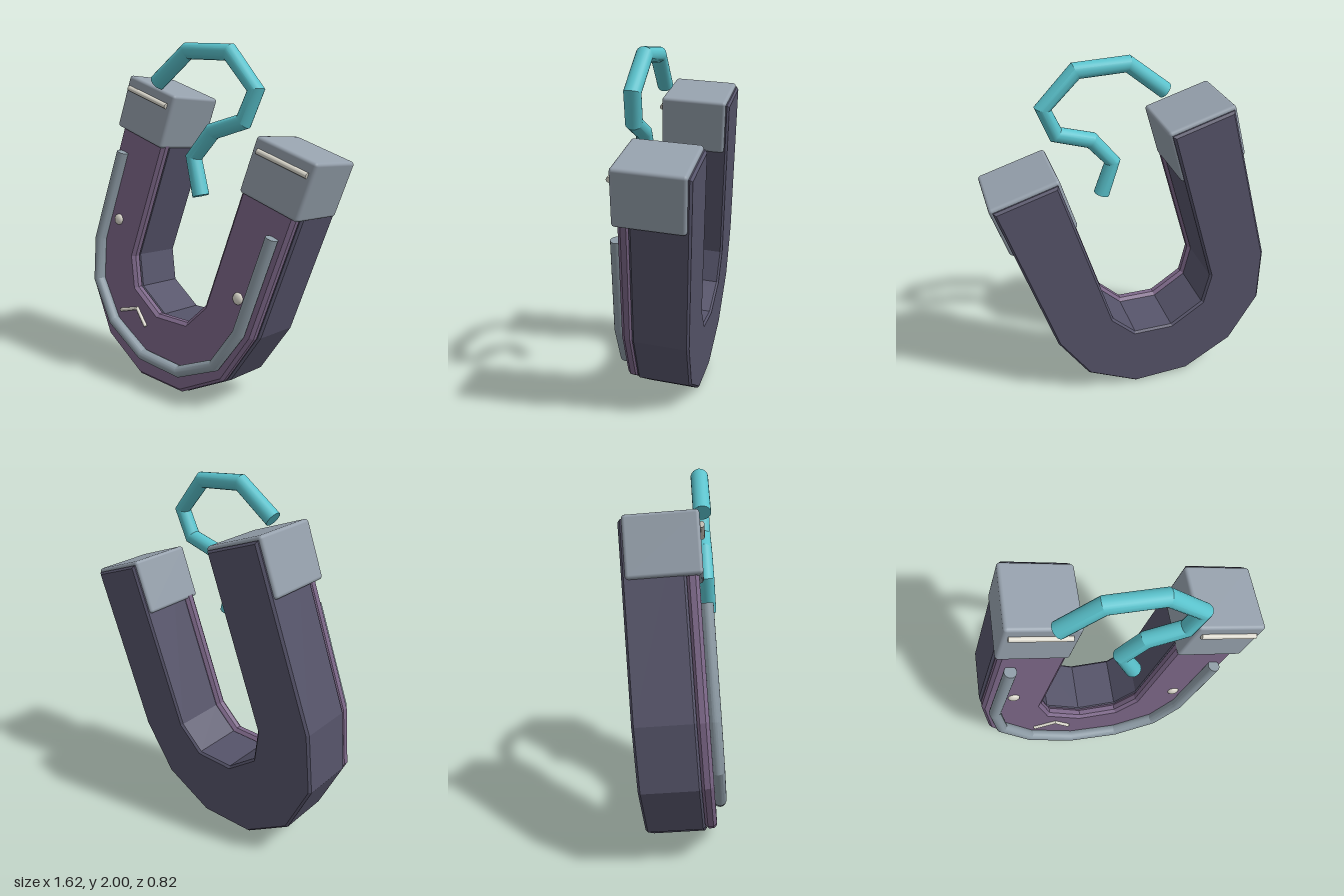
import * as THREE from 'three';
import { toCreasedNormals } from 'three/addons/utils/BufferGeometryUtils.js';
import { RoundedBoxGeometry } from 'three/addons/geometries/RoundedBoxGeometry.js';

const paint = (name, color) => {
  const m = new THREE.MeshStandardMaterial({ color });
  m.name = name;
  return m;
};

// Straight-sided path whose joints are mitred
class Polyline extends THREE.Curve {
  constructor(points) { super(); this.points = points; }
  getPoint(t, target = new THREE.Vector3()) {
    const n = this.points.length - 1;
    const s = Math.min(Math.max(t, 0), 1) * n;
    const i = Math.min(Math.floor(s), n - 1);
    return target.lerpVectors(this.points[i], this.points[i + 1], s - i);
  }
  getPointAt(t, target) { return this.getPoint(t, target); }
  getTangentAt(t, target = new THREE.Vector3()) {
    const n = this.points.length - 1, i = Math.round(t * n), p = this.points;
    target.set(0, 0, 0);
    if (i > 0) target.add(p[i].clone().sub(p[i - 1]).normalize());
    if (i < n) target.add(p[i + 1].clone().sub(p[i]).normalize());
    return target.normalize();
  }
}

// Lower half of an ellipse from -x to +x, in n straight steps
function arc(a, b, cy, n) {
  return Array.from({ length: n + 1 }, (_, i) => {
    const t = Math.PI * (1 + i / n);
    return new THREE.Vector2(a * Math.cos(t), cy + b * Math.sin(t));
  });
}

// Bevelled U-shaped slab between two depths
function uSlab(outer, inner, innerDrop, top, back, front, bevel) {
  const o = outer - bevel, i = inner + bevel, t = top - bevel;
  const shape = new THREE.Shape([
    new THREE.Vector2(-o, t), ...arc(o, o, 0.575, 6), new THREE.Vector2(o, t),
    new THREE.Vector2(i, t), ...arc(i, innerDrop + bevel, 0.575, 4).reverse(), new THREE.Vector2(-i, t),
  ]);
  const g = new THREE.ExtrudeGeometry(shape, {
    depth: front - back - 2 * bevel, bevelEnabled: true,
    bevelThickness: bevel, bevelSize: bevel, bevelSegments: 1,
  });
  return g.translate(0, 0, back + bevel);
}

export function createModel() {
  const model = new THREE.Group();
  model.name = 'horseshoeMagnet';
  const darkBody = paint('dark slate', 0x56546a);
  const plum = paint('plum', 0x7c6788);
  const steel = paint('steel grey', 0x95a0ac);
  const trimGrey = paint('trim grey', 0x8d9ba5);
  const cyan = paint('cyan', 0x5ac3cd);
  const cream = paint('cream', 0xdad7cc);

  const add = (parent, name, geometry, material) => {
    const mesh = new THREE.Mesh(geometry, material);
    mesh.name = name;
    parent.add(mesh);
    return mesh;
  };

  // Faceted tube with closed ends
  const addTube = (parent, name, points, radius, material) => {
    const group = new THREE.Group();
    group.name = name;
    parent.add(group);
    const path = new Polyline(points);
    const tube = new THREE.TubeGeometry(path, points.length - 1, radius, 20, false);
    add(group, name + 'Tube', toCreasedNormals(tube, 0.4), material);
    for (const [end, sign] of [[0, -1], [1, 1]]) {
      const cap = add(group, name + 'End', new THREE.CircleGeometry(radius, 20), material);
      cap.position.copy(path.getPointAt(end));
      cap.quaternion.setFromUnitVectors(new THREE.Vector3(0, 0, 1), path.getTangentAt(end).multiplyScalar(sign));
    }
  };

  // Tilted frame that carries the magnet
  const magnet = new THREE.Group();
  magnet.name = 'magnet';
  const ey = new THREE.Vector3(0.31, 0.95, 0.02).normalize();
  const ez = new THREE.Vector3(0.9, -0.3, 0.32).cross(ey).normalize();
  const ex = ey.clone().cross(ez);
  magnet.quaternion.setFromRotationMatrix(new THREE.Matrix4().makeBasis(ex, ey, ez));
  magnet.position.copy(ex).multiplyScalar(-0.353);
  model.add(magnet);

  add(magnet, 'body', uSlab(0.66, 0.312, 0.24, 1.56, -0.115, 0.195, 0.012), darkBody);
  add(magnet, 'frontPlate', uSlab(0.65, 0.298, 0.228, 1.4, 0.19, 0.255, 0.018), plum);

  // Raised trim following the U
  const trim = [
    new THREE.Vector2(-0.577, 1.14), ...arc(0.577, 0.5, 0.575, 6), new THREE.Vector2(0.577, 1.14),
  ].map(p => new THREE.Vector3(p.x, p.y, 0.28));
  addTube(magnet, 'trim', trim, 0.034, trimGrey);

  // Pole caps, their highlight bars and the rivets
  for (const [side, s] of [['left', 1], ['right', -1]]) {
    const cap = add(magnet, side + 'PoleCap', new RoundedBoxGeometry(0.38, 0.31, 0.372, 2, 0.018), steel);
    cap.position.set(s * 0.487, 1.425, 0.09);
    addTube(magnet, side + 'CapBar',
      [new THREE.Vector3(s * 0.335, 1.508, 0.282), new THREE.Vector3(s * 0.648, 1.508, 0.282)], 0.015, cream);
    const rivet = add(magnet, side + 'Rivet', new THREE.SphereGeometry(0.033, 16, 10), cream);
    rivet.position.set(s * 0.49, 0.737, 0.257);
    rivet.scale.z = 0.5;
  }

  // Small bent scratch on the plate
  addTube(magnet, 'scratch',
    [[-0.274, 0.221], [-0.154, 0.301], [-0.054, 0.233]].map(([x, y]) => new THREE.Vector3(x, y, 0.26)), 0.011, cream);

  // Curled hook lying in the plane of the magnet's front
  const hook = [[-0.3, 1.79], [-0.09, 1.957], [0.18, 1.945], [0.345, 1.76],
    [0.28, 1.605], [0.09, 1.545], [-0.03, 1.4], [0.025, 1.2]]
    .map(([x, y]) => new THREE.Vector3(x, y, (0.29 + 0.31 * x - 0.081 * y) / 0.948));
  addTube(model, 'hook', hook, 0.046, cyan);

  return model;
}
